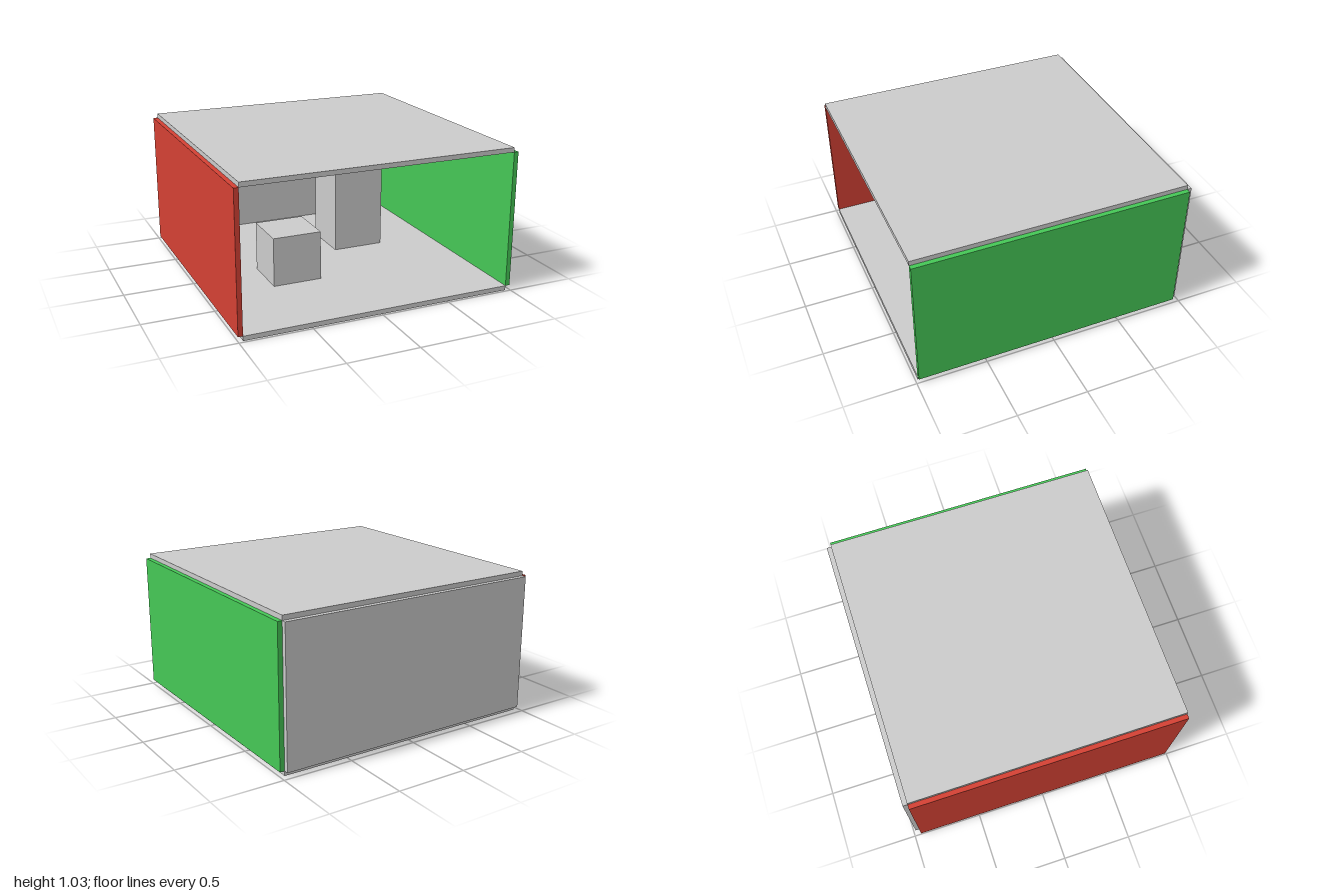
import * as THREE from 'three';

const GREY = 0xcccccc;

export function createModel() {
  const model = new THREE.Group();
  model.name = 'openRoom';

  const S = 1.934; // inner width and depth
  const H = 0.967; // wall height
  const T = 0.033; // panel thickness
  const midY = T + H / 2;
  const midZ = T / 2; // the back panel shifts the room forward

  // One box, placed by its centre
  function addBox(name, size, position, color = GREY) {
    const mesh = new THREE.Mesh(
      new THREE.BoxGeometry(...size),
      new THREE.MeshStandardMaterial({ color })
    );
    mesh.name = name;
    mesh.position.set(...position);
    model.add(mesh);
  }

  // Panels meet edge to edge, leaving the outer corners open
  addBox('floor', [S, T, S], [0, T / 2, midZ]);
  addBox('ceiling', [S, T, S], [0, T + H + T / 2, midZ]);
  addBox('backWall', [S, H, T], [0, midY, midZ - S / 2 - T / 2]);
  addBox('leftWall', [T, H, S], [S / 2 + T / 2, midY, midZ], 0x45c756);
  addBox('rightWall', [T, H, S], [-S / 2 - T / 2, midY, midZ], 0xd44134);

  // Thin lamp panel under the ceiling
  addBox('ceilingLamp', [0.645, 0.013, 0.645], [0, T + H - 0.0075, midZ], 0x000000);

  // Blocks standing on the floor
  addBox('shortBlock', [0.355, 0.355, 0.355], [-0.342, T + 0.1775, 0.17]);
  addBox('tallBlock', [0.387, 0.677, 0.387], [0.354, T + 0.3385, -0.31]);

  return model;
}
